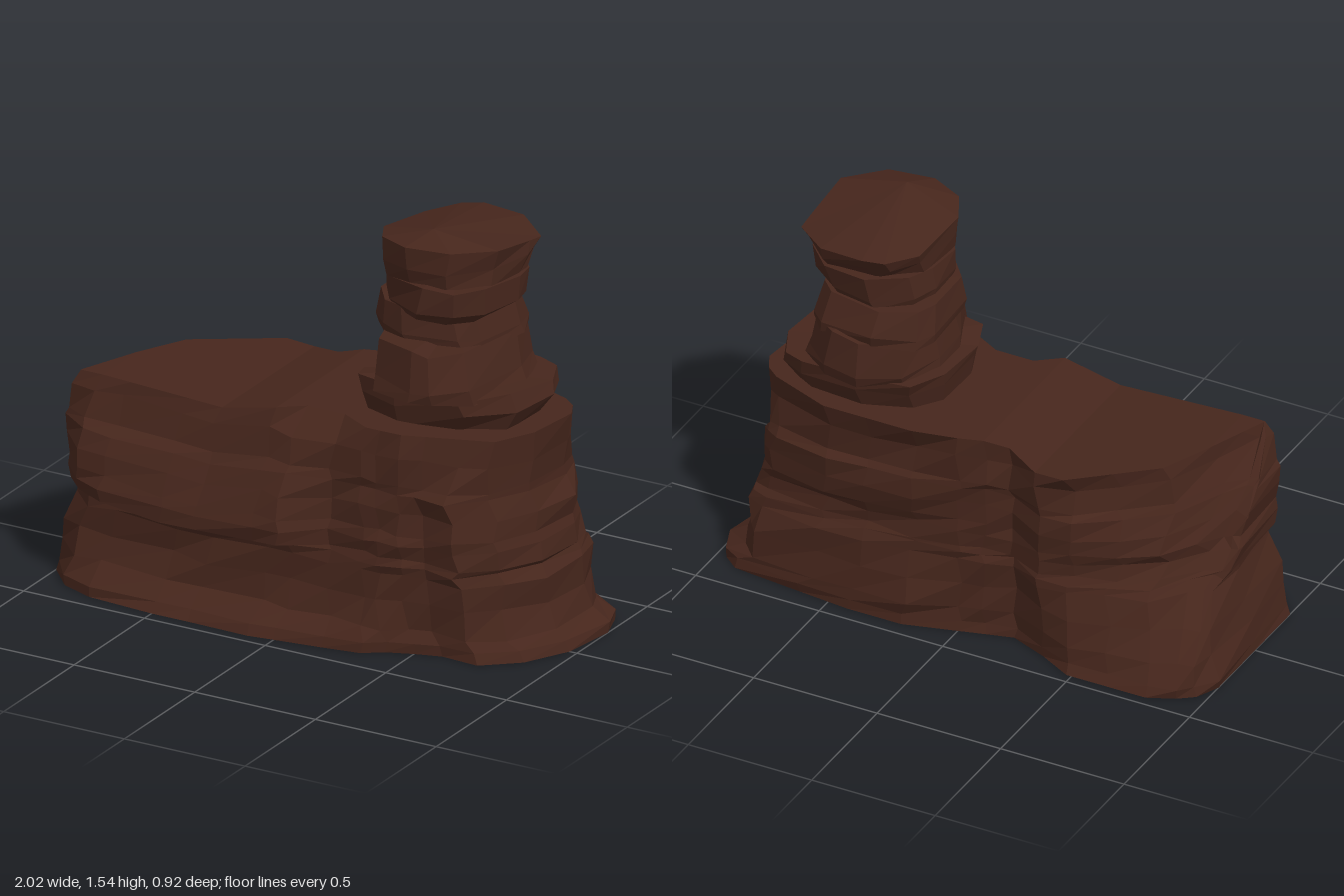
import * as THREE from 'three';

const { clamp, mapLinear } = THREE.MathUtils;
const material = new THREE.MeshStandardMaterial({ color: 0x46261c, flatShading: true });

// Seeded noise in the range -1..1
function makeNoise(seed) {
  let s = seed;
  return () => {
    s = (s * 16807) % 2147483647;
    return (s / 2147483647) * 2 - 1;
  };
}

// Skin a stack of equal-length rings, bottom to top, each a list of [x, y, z]
function loft(name, rings) {
  const n = rings[0].length;
  const index = [];
  for (let r = 0; r < rings.length - 1; r++) {
    for (let i = 0; i < n; i++) {
      const j = (i + 1) % n;
      const a = r * n + i, b = r * n + j, c = a + n, d = b + n;
      index.push(a, c, b, b, c, d);
    }
  }
  const geometry = new THREE.BufferGeometry();
  geometry.setAttribute('position', new THREE.Float32BufferAttribute(rings.flat(2), 3));
  geometry.setIndex(index);
  const flat = geometry.toNonIndexed();
  flat.computeVertexNormals();
  const mesh = new THREE.Mesh(flat, material);
  mesh.name = name;
  return mesh;
}

// Footprint of the long block as [x, z]
const outline = [
  [-1, -0.28], [-0.96, -0.37], [-0.9, -0.415], [-0.8, -0.46], [-0.64, -0.46], [-0.48, -0.46], [-0.35, -0.39],
  [-0.2, -0.33], [-0.1, -0.357], [0, -0.385], [0.2, -0.44], [0.42, -0.44], [0.62, -0.42], [0.9, -0.39],
  [0.96, -0.34], [1, -0.22], [0.97, 0], [0.88, 0.17], [0.75, 0.28], [0.6, 0.27],
  [0.5, 0.3], [0.4, 0.34], [0.33, 0.39], [0.18, 0.415], [0, 0.44], [-0.1, 0.455], [-0.35, 0.45],
  [-0.5, 0.45], [-0.77, 0.43], [-0.9, 0.38], [-1, 0.27], [-1, 0],
];

// Rock strata: height, left reach, right reach, front limit, back limit
const strata = [
  [0, 1, 1, 0.46, 0.46], [0.04, 1, 0.99, 0.43, 0.455], [0.1, 0.98, 0.93, 0.35, 0.45],
  [0.2, 0.96, 0.9, 0.335, 0.43], [0.3, 0.92, 0.91, 0.33, 0.41], [0.335, 0.92, 0.88, 0.34, 0.39],
  [0.36, 0.95, 0.88, 0.425, 0.385], [0.42, 0.955, 0.87, 0.42, 0.38], [0.46, 0.93, 0.86, 0.41, 0.4],
  [0.54, 0.95, 0.86, 0.385, 0.42], [0.61, 0.95, 0.83, 0.345, 0.41], [0.64, 0.94, 0.83, 0.32, 0.4],
  [0.74, 0.92, 0.84, 0.285, 0.385], [0.82, 0.9, 0.85, 0.265, 0.42],
];

// The top is higher under the stones and dips left of them
function topHeight(x) {
  if (x > -0.1) return 0.82;
  if (x > -0.35) return mapLinear(x, -0.35, -0.1, 0.772, 0.82);
  return mapLinear(Math.max(x, -0.9), -0.9, -0.35, 0.795, 0.772);
}

// How far the back is worn away at the top of the block
function backWear(x) {
  if (x > 0) return Math.max(0, x - 0.65) * 0.8;
  if (x > -0.74) return Math.max(0, mapLinear(x, -0.4, -0.74, 0, 0.26));
  return mapLinear(Math.max(x, -0.9), -0.74, -0.9, 0.26, 0.68);
}

function createBlock() {
  const noise = makeNoise(71);
  const rings = strata.map(([y, left, right, front, back], k) => {
    const top = k === strata.length - 1;
    const rough = k === 0 || top ? 0 : 1;
    const t = y / 0.82;
    return outline.map(([x, z]) => {
      const px = x * (x < 0 ? left : right) + noise() * 0.014 * rough;
      let frontLimit = front - t * Math.max(0, px - 0.42) * 0.35;
      // The front ledge ends in a plain wall on the right
      if (rough && k > 2 && x > 0.1) frontLimit = Math.min(frontLimit, 0.34 - 0.07 * t);
      // Crumbled stretch of the upper front edge
      if (top && x > -0.05 && x < 0.25) frontLimit -= 0.07;
      const pz = clamp(z, t * backWear(px) - back, frontLimit) + noise() * 0.013 * rough;
      // Strata sink slightly towards the right
      const wobble = k > 1 ? (noise() * 0.01 - 0.025 * x) * rough : 0;
      return [px, t * topHeight(x) + wobble, pz];
    });
  });
  // Close the ends by gathering each ring onto its long middle line
  const spine = ring => ring.map(([x, y]) => [clamp(x, -0.81, 0.75), y, 0.1]);
  return loft('rockBlock', [spine(rings[0]), ...rings, spine(rings[rings.length - 1])]);
}

// Stacked stones: rings of [height, x min, x max, z min, z max]
const stones = [
  [[0.8, 0.15, 0.73, -0.33, 0.14], [0.89, 0.13, 0.79, -0.37, 0.17], [0.95, 0.12, 0.78, -0.39, 0.18]],
  [[0.94, 0.18, 0.7, -0.41, 0.24], [0.98, 0.18, 0.69, -0.42, 0.24], [1.12, 0.2, 0.65, -0.41, 0.21]],
  [[1.1, 0.15, 0.67, -0.39, 0.11], [1.14, 0.14, 0.66, -0.4, 0.12], [1.24, 0.15, 0.63, -0.36, 0.1]],
  [[1.22, 0.21, 0.63, -0.33, 0.14], [1.26, 0.19, 0.69, -0.35, 0.17], [1.36, 0.2, 0.7, -0.37, 0.18]],
  [[1.35, 0.21, 0.68, -0.31, 0.14], [1.41, 0.2, 0.69, -0.38, 0.15], [1.5, 0.19, 0.7, -0.41, 0.16]],
];
// How round each stone is towards its back right and front left
const roundness = [0.6, 0.85, 0.8, 1.05, 0.7];

function createStone(layers, k) {
  const noise = makeNoise(313 + k * 97);
  const sides = 11;
  const last = layers.length - 1;
  const isTop = k === stones.length - 1;
  // Irregular corner directions shared by all rings
  const corners = Array.from({ length: sides }, (_, i) => {
    const a = ((i + noise() * 0.3) / sides) * Math.PI * 2;
    const c = Math.cos(a), s = Math.sin(a);
    const power = c * s < 0 ? roundness[k] : 0.9;
    return [c, s].map(v => Math.sign(v) * Math.pow(Math.abs(v), power));
  });
  // The top stone peaks near its front, slopes to the back and drops at the sides
  const crown = (x, z) => 1.542 - (z < 0.05 ? (0.05 - z) * 0.15 : (z - 0.05) * 0.35)
    - (x < 0.42 ? 0.06 : 0.035) * Math.pow((x - 0.42) / 0.25, 2);
  const rings = layers.map(([y, x0, x1, z0, z1], r) => corners.map(([cx, cz]) => {
    const px = (x0 + x1) / 2 + cx * (x1 - x0) / 2 + noise() * 0.01;
    const pz = (z0 + z1) / 2 + cz * (z1 - z0) / 2 + noise() * 0.01;
    const py = isTop && r === last ? crown(px, pz) : y + noise() * 0.012;
    return [px, py, pz];
  }));
  const [, x0, x1, z0, z1] = layers[last];
  const gather = (x, y, z) => corners.map(() => [x, y, z]);
  const topCap = isTop ? gather(0.43, crown(0.43, 0.04), 0.04)
    : gather((x0 + x1) / 2, layers[last][0], (z0 + z1) / 2);
  const bottomCap = gather((x0 + x1) / 2, layers[0][0], (z0 + z1) / 2);
  return loft('stackedStone' + (k + 1), [bottomCap, ...rings, topCap]);
}

export function createModel() {
  const model = new THREE.Group();
  model.name = 'rockFormation';
  model.add(createBlock());
  const stack = new THREE.Group();
  stack.name = 'stoneStack';
  stones.forEach((layers, k) => stack.add(createStone(layers, k)));
  model.add(stack);
  return model;
}
